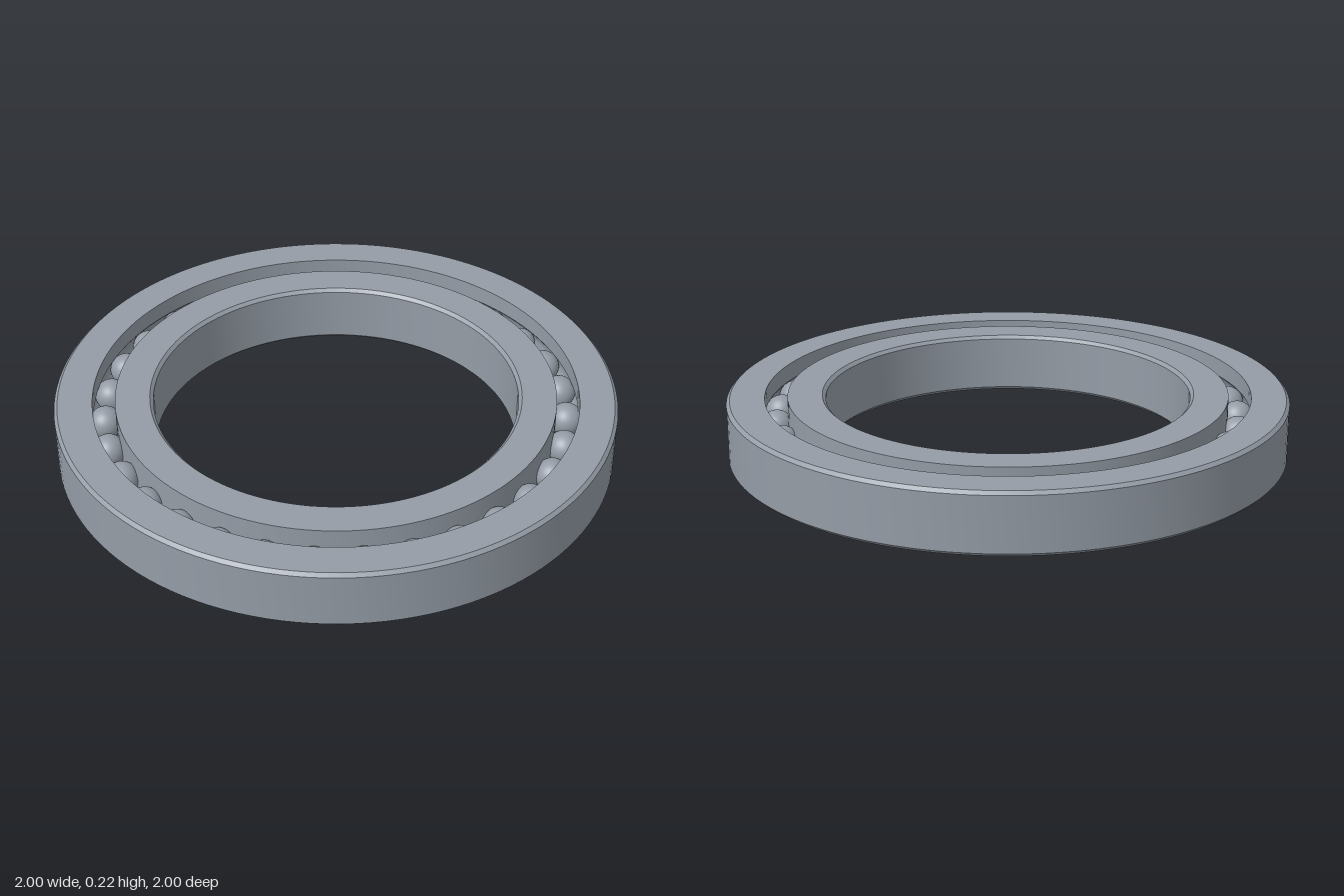
import * as THREE from 'three';
import { toCreasedNormals } from 'three/addons/utils/BufferGeometryUtils.js';

const HEIGHT = 0.22;
const MID = HEIGHT / 2;
const CHAMFER = 0.012;
const PITCH = 0.825;      // radius of the circle of balls
const BALL = 0.06;
const BALL_COUNT = 31;
const GAP = 0.04;         // half the gap between the races

// Points of a raceway groove, centred on the balls; side is +1 outside, -1 inside
function groove(side) {
  const r = BALL + 0.001;
  const half = Math.acos(GAP / r);
  const points = [];
  for (let i = 0; i <= 12; i++) {
    const a = side * (half - (2 * half * i) / 12);
    points.push([PITCH + side * r * Math.cos(a), MID + side * r * Math.sin(a)]);
  }
  return points;
}

// Closed profile (counterclockwise) turned into a ring with crisp edges
function ring(name, profile, material) {
  const points = [...profile, profile[0]].map(([x, y]) => new THREE.Vector2(x, y));
  const geometry = toCreasedNormals(new THREE.LatheGeometry(points, 128), 0.5);
  const mesh = new THREE.Mesh(geometry, material);
  mesh.name = name;
  return mesh;
}

export function createModel() {
  const model = new THREE.Group();
  model.name = 'ballBearing';
  const steel = new THREE.MeshStandardMaterial({ color: 0x949ca6 });
  steel.name = 'steel grey';

  // Outer race: chamfered rim, groove on the inside
  const outerBore = PITCH + GAP;
  model.add(ring('outerRace', [
    [outerBore, 0],
    [1 - CHAMFER, 0], [1, CHAMFER],
    [1, HEIGHT - CHAMFER], [1 - CHAMFER, HEIGHT],
    [outerBore, HEIGHT],
    ...groove(1),
  ], steel));

  // Inner race: chamfered bore, groove on the outside
  const bore = 0.65;
  const innerRim = PITCH - GAP;
  model.add(ring('innerRace', [
    [bore, CHAMFER], [bore + CHAMFER, 0],
    [innerRim, 0],
    ...groove(-1),
    [innerRim, HEIGHT],
    [bore + CHAMFER, HEIGHT], [bore, HEIGHT - CHAMFER],
  ], steel));

  // Balls between the races
  const balls = new THREE.Group();
  balls.name = 'balls';
  const ballGeometry = new THREE.SphereGeometry(BALL, 32, 20);
  for (let i = 0; i < BALL_COUNT; i++) {
    const a = (i / BALL_COUNT) * Math.PI * 2;
    const ball = new THREE.Mesh(ballGeometry, steel);
    ball.name = 'ball';
    ball.position.set(PITCH * Math.cos(a), MID, PITCH * Math.sin(a));
    balls.add(ball);
  }
  model.add(balls);
  return model;
}
